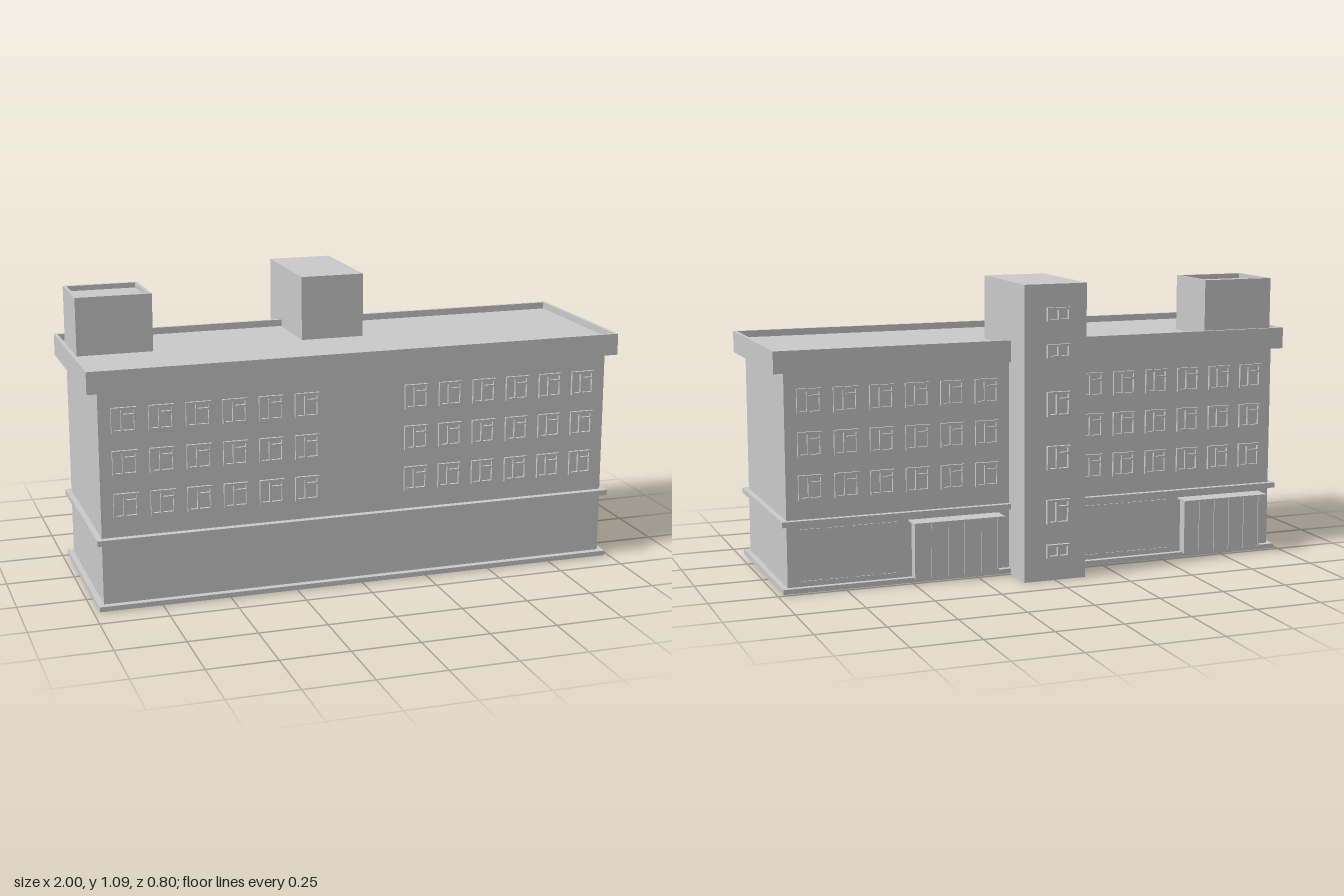
import * as THREE from 'three';

const mat = new THREE.MeshStandardMaterial({ color: 0xcccccc, flatShading: true });

// Box given by its minimum and maximum along each axis
function box(parent, name, x0, x1, y0, y1, z0, z1) {
  const mesh = new THREE.Mesh(new THREE.BoxGeometry(x1 - x0, y1 - y0, z1 - z0), mat);
  mesh.position.set((x0 + x1) / 2, (y0 + y1) / 2, (z0 + z1) / 2);
  mesh.name = name;
  parent.add(mesh);
  return mesh;
}

function rect(target, x0, x1, y0, y1) {
  target.moveTo(x0, y0);
  target.lineTo(x1, y0);
  target.lineTo(x1, y1);
  target.lineTo(x0, y1);
  target.closePath();
  return target;
}

// Flat frame facing +z with rectangular openings [x0, x1, y0, y1]
function frameGeometry(w, h, depth, openings) {
  const shape = rect(new THREE.Shape(), -w / 2, w / 2, -h / 2, h / 2);
  for (const o of openings) shape.holes.push(rect(new THREE.Path(), ...o));
  return new THREE.ExtrudeGeometry(shape, { depth, bevelEnabled: false });
}

// Horizontal rim standing on a roof slab
function rim(parent, name, x0, x1, y0, y1, z0, z1, t) {
  const shape = rect(new THREE.Shape(), x0, x1, -z1, -z0);
  shape.holes.push(rect(new THREE.Path(), x0 + t, x1 - t, -z1 + t, -z0 - t));
  const geo = new THREE.ExtrudeGeometry(shape, { depth: y1 - y0, bevelEnabled: false });
  const mesh = new THREE.Mesh(geo.rotateX(-Math.PI / 2), mat);
  mesh.position.y = y0;
  mesh.name = name;
  parent.add(mesh);
}

export function createModel() {
  const building = new THREE.Group();
  building.name = 'building';

  // Main block with its projecting courses
  box(building, 'mainBlock', -0.96, 0.96, 0.005, 0.8, -0.228, 0.375);
  box(building, 'plinth', -0.98, 0.98, 0.004, 0.022, -0.249, 0.4);
  box(building, 'stringCourse', -0.98, 0.98, 0.246, 0.266, -0.249, 0.4);

  // Roof slab and parapet
  box(building, 'roofSlab', -1, 1, 0.793, 0.848, -0.249, 0.4);
  rim(building, 'parapet', -1, 1, 0.848, 0.873, -0.249, 0.4, 0.013);

  // Stair tower
  box(building, 'stairTower', -0.12, 0.12, 0, 1.086, -0.384, 0.032);

  // Rooftop plant room
  box(building, 'plantRoom', -0.968, -0.688, 0.84, 1.042, -0.2, 0.045);
  rim(building, 'plantRoomRim', -0.968, -0.688, 1.042, 1.061, -0.2, 0.045, 0.013);

  // Upper-floor windows: one tall pane, one pane with a transom light
  const windowGeo = frameGeometry(0.09, 0.09, 0.01, [
    [-0.036, -0.01, -0.036, 0.036],
    [-0.002, 0.036, -0.036, 0.014],
    [-0.002, 0.036, 0.021, 0.036],
  ]);
  for (const back of [false, true]) {
    const windows = new THREE.Group();
    windows.name = back ? 'backWindows' : 'frontWindows';
    for (const y of [0.381, 0.536, 0.69])
      for (const side of [-1, 1])
        for (let i = 0; i < 6; i++) {
          const w = new THREE.Mesh(windowGeo, mat);
          w.name = 'windowFrame';
          w.position.set(side * (0.208 + i * 0.1325), y, back ? -0.228 : 0.375);
          if (back) w.rotation.y = Math.PI;
          windows.add(w);
        }
    building.add(windows);
  }

  // Stair tower windows, low ones and tall ones
  const towerWindows = new THREE.Group();
  towerWindows.name = 'towerWindows';
  for (const [y0, y1] of [[0.085, 0.135], [0.212, 0.302], [0.41, 0.5], [0.608, 0.698], [0.82, 0.87], [0.952, 1.002]]) {
    const h = y1 - y0, top = h / 2 - 0.008;
    const tall = h > 0.06;
    const openings = tall
      ? [[-0.036, -0.01, -top, top], [-0.002, 0.036, -top, 0.014], [-0.002, 0.036, 0.021, top]]
      : [[-0.036, -0.004, -top, top], [0.004, 0.036, -top, top]];
    const w = new THREE.Mesh(frameGeometry(0.09, h, 0.014, openings), mat);
    w.name = 'towerWindowFrame';
    w.position.set(-0.01, (y0 + y1) / 2, -0.384);
    w.rotation.y = Math.PI;
    towerWindows.add(w);
  }
  building.add(towerWindows);

  // Ground floor at the back: glazed porches and shopfronts
  for (const [x0, shopX] of [[0.162, 0.545], [-0.918, -0.535]]) {
    const porch = new THREE.Group();
    porch.name = 'entrancePorch';
    const a = x0 + 0.012, b = x0 + 0.336;
    box(porch, 'canopy', x0, x0 + 0.348, 0.228, 0.234, -0.3, -0.226);
    box(porch, 'porchGlazing', a, b, 0.02, 0.229, -0.263, -0.226);
    for (let i = 0; i <= 5; i++) {
      const x = a + 0.003 + (i * (b - a - 0.006)) / 5;
      box(porch, 'porchMullion', x - 0.003, x + 0.003, 0.02, 0.229, -0.267, -0.26);
    }
    building.add(porch);

    const shopfront = new THREE.Group();
    shopfront.name = 'shopfront';
    for (let i = 0; i < 4; i++) {
      const x = shopX + i * 0.097;
      for (const y of [0.037, 0.226])
        box(shopfront, 'shopfrontRail', x, x + 0.075, y, y + 0.005, -0.232, -0.226);
    }
    building.add(shopfront);
  }

  return building;
}
